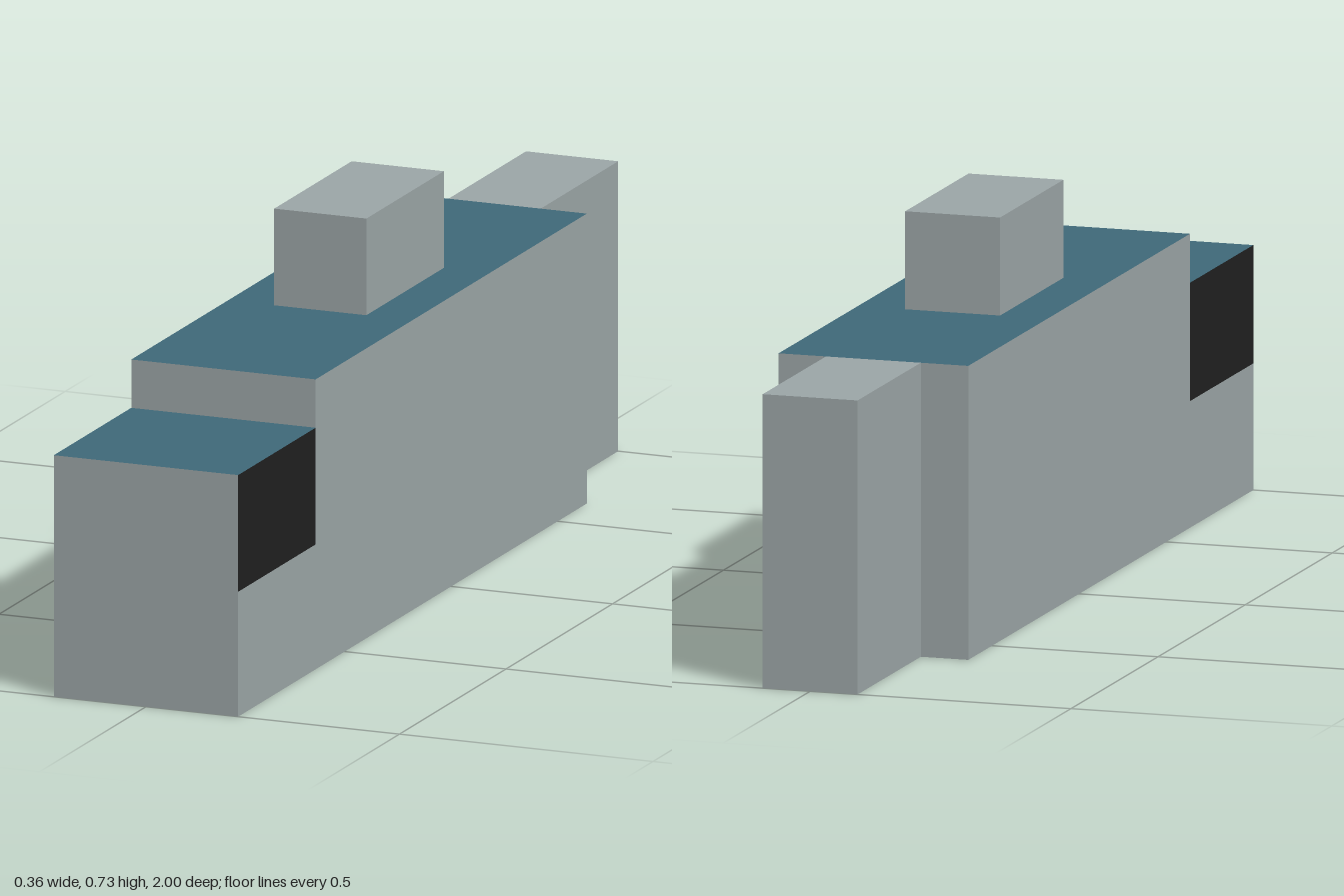
import * as THREE from 'three';

export function createModel() {
  const model = new THREE.Group();
  const paint = (name, color) => {
    const m = new THREE.MeshStandardMaterial({ color });
    m.name = name;
    return m;
  };
  const grey = paint('grey', 0x9ba5a6);
  const teal = paint('teal', 0x3f6878);
  const black = paint('black', 0x202020);

  // Box centred on x, spanning y0..y1 and z0..z1, with its own side and top colours
  function block(name, width, y0, y1, z0, z1, { sides = grey, top = grey } = {}) {
    const geometry = new THREE.BoxGeometry(width, y1 - y0, z1 - z0);
    const mesh = new THREE.Mesh(geometry, [sides, sides, top, grey, grey, grey]);
    mesh.position.set(0, (y0 + y1) / 2, (z0 + z1) / 2);
    mesh.name = name;
    model.add(mesh);
  }

  const u = 1 / 11; // the whole shape sits on a grid of 22 units in length
  const sill = 0.235;

  // Main hull with a coloured roof
  block('body', 4 * u, 0, 6 * u, -7 * u, 7 * u, { top: teal });
  // Lower front end, with dark side panels above the sill
  block('noseBase', 4 * u, 0, sill, 7 * u, 11 * u);
  block('noseTop', 4 * u, sill, 5 * u, 7 * u, 11 * u, { sides: black, top: teal });
  // Narrow rear section
  block('tail', 2 * u, 0, 6 * u, -11 * u, -7 * u);
  // Small block on the roof
  block('roofBlock', 2 * u, 6 * u, 8 * u, -2 * u, 2 * u);

  return model;
}
